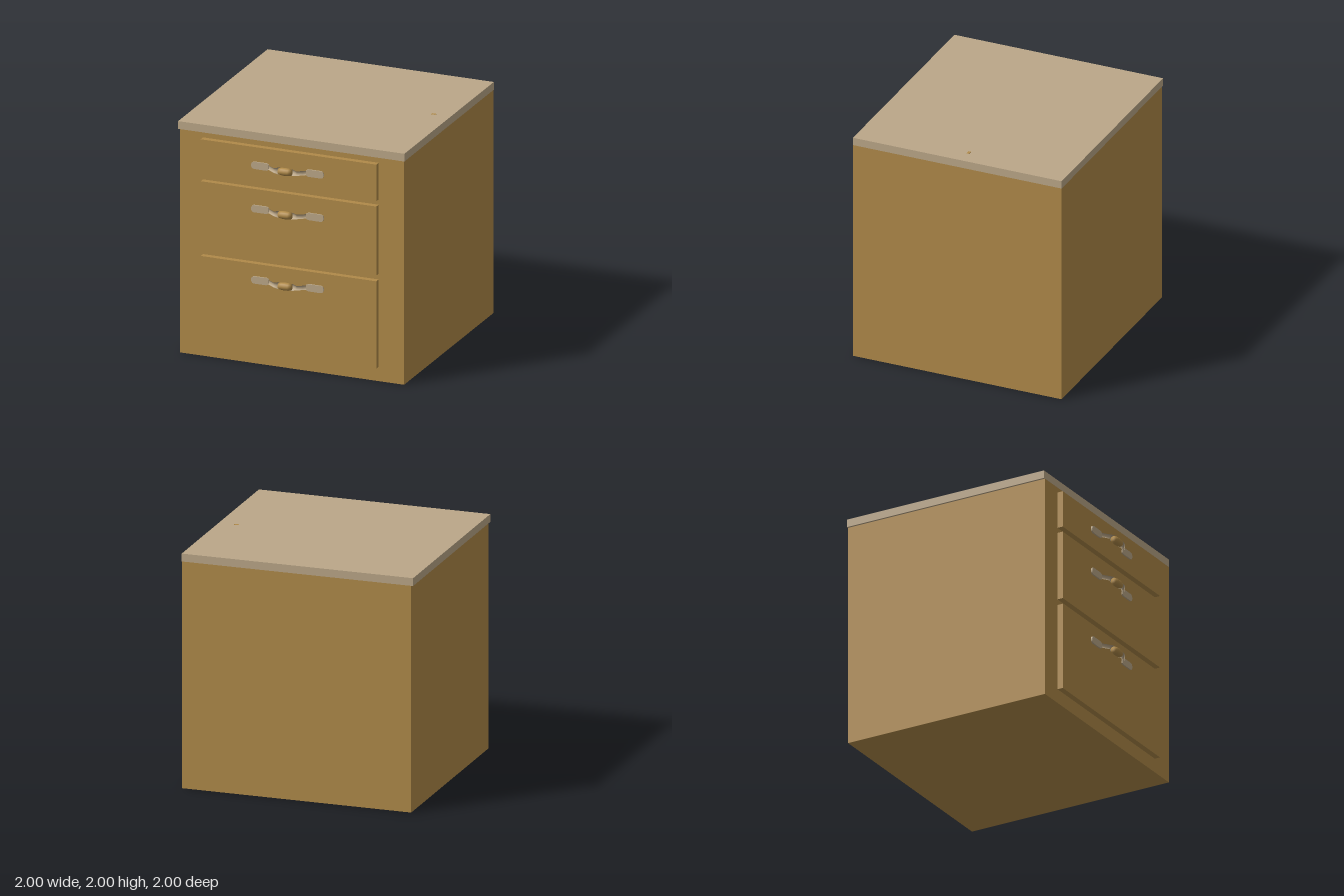
import * as THREE from 'three';

const material = (name, color) => {
  const m = new THREE.MeshStandardMaterial({ color });
  m.name = name;
  return m;
};

function add(parent, name, geometry, mat) {
  const mesh = new THREE.Mesh(geometry, mat);
  mesh.name = name;
  parent.add(mesh);
  return mesh;
}

// Box given by its minimum and maximum corners
function box(parent, name, min, max, mat) {
  const size = max.map((v, i) => v - min[i]);
  const mesh = add(parent, name, new THREE.BoxGeometry(...size), mat);
  mesh.position.set(...max.map((v, i) => (v + min[i]) / 2));
  return mesh;
}

// Loft of elliptical sections along x: stations are [x, z, halfHeight, halfDepth]
function loft(stations, sides = 12) {
  const pos = [], index = [];
  for (const [x, z, h, d] of stations) {
    for (let i = 0; i < sides; i++) {
      const a = (i / sides) * Math.PI * 2;
      pos.push(x, Math.cos(a) * h, z + Math.sin(a) * d);
    }
  }
  for (let s = 0; s < stations.length - 1; s++) {
    for (let i = 0; i < sides; i++) {
      const a = s * sides + i, b = s * sides + (i + 1) % sides;
      index.push(a, b, a + sides, b, b + sides, a + sides);
    }
  }
  const g = new THREE.BufferGeometry();
  g.setAttribute('position', new THREE.Float32BufferAttribute(pos, 3));
  // Orient the faces outwards
  for (let i = 0; i < index.length; i += 3) {
    [index[i + 1], index[i + 2]] = [index[i + 2], index[i + 1]];
  }
  g.setIndex(index);
  g.computeVertexNormals();
  return g;
}

// Rounded mounting plate; its round end points along side * x
function plateGeometry(side) {
  const s = new THREE.Shape();
  s.moveTo(side * 0.165, -0.022);
  s.lineTo(side * 0.185, -0.031);
  s.lineTo(side * 0.295, -0.031);
  s.quadraticCurveTo(side * 0.32, -0.028, side * 0.32, 0);
  s.quadraticCurveTo(side * 0.32, 0.028, side * 0.295, 0.031);
  s.lineTo(side * 0.185, 0.031);
  s.lineTo(side * 0.165, 0.022);
  s.closePath();
  return new THREE.ExtrudeGeometry(s, { depth: 0.013, bevelEnabled: false, curveSegments: 6 });
}

function makeHandle(metal, wood) {
  const handle = new THREE.Group();
  handle.name = 'handle';
  for (const side of [-1, 1]) {
    add(handle, 'mountingPlate', plateGeometry(side), metal);
    // Arm slopes out from the plate and flares into a collar at the grip
    const arm = [
      [0.2, 0.007, 0.018, 0.006], [0.172, 0.011, 0.019, 0.011], [0.14, 0.034, 0.019, 0.014],
      [0.1, 0.062, 0.02, 0.014], [0.08, 0.06, 0.024, 0.022], [0.068, 0.057, 0.027, 0.026],
      [0.05, 0.057, 0.029, 0.028],
    ].map(([x, ...rest]) => [side * x, ...rest]);
    if (side > 0) arm.reverse();
    add(handle, 'arm', loft(arm), metal);
  }
  // Barrel-shaped grip
  const profile = [[0, -0.056], [0.026, -0.056], [0.031, -0.03], [0.033, 0], [0.031, 0.03], [0.026, 0.056], [0, 0.056]]
    .map(p => new THREE.Vector2(...p));
  const grip = add(handle, 'grip', new THREE.LatheGeometry(profile, 16), wood);
  grip.rotation.z = Math.PI / 2;
  grip.position.z = 0.057;
  return handle;
}

export function createModel() {
  const model = new THREE.Group();
  model.name = 'drawerCabinet';
  const wood = material('wood', 0xb08a49);
  const stone = material('beige', 0xbba788);

  // Cabinet body and worktop
  box(model, 'body', [-0.983, 0, -0.998], [0.997, 1.933, 0.863], wood);
  box(model, 'worktop', [-1, 1.933, -1], [1, 2, 0.864], stone);
  // Small mark on the worktop
  box(model, 'worktopMark', [0.83, 1.999, -0.115], [0.87, 2.001, -0.09], wood);

  // Drawers: [bottom, top, handle height]
  for (const [bottom, top, grip] of [[1.572, 1.89, 1.735], [0.93, 1.527, 1.36], [0.123, 0.88, 0.743]]) {
    const drawer = new THREE.Group();
    drawer.name = 'drawer';
    model.add(drawer);
    box(drawer, 'drawerFront', [-0.78, bottom, 0.85], [0.772, top, 0.912], wood);
    const handle = makeHandle(stone, wood);
    handle.position.set(-0.01, grip, 0.911);
    drawer.add(handle);
  }
  return model;
}
